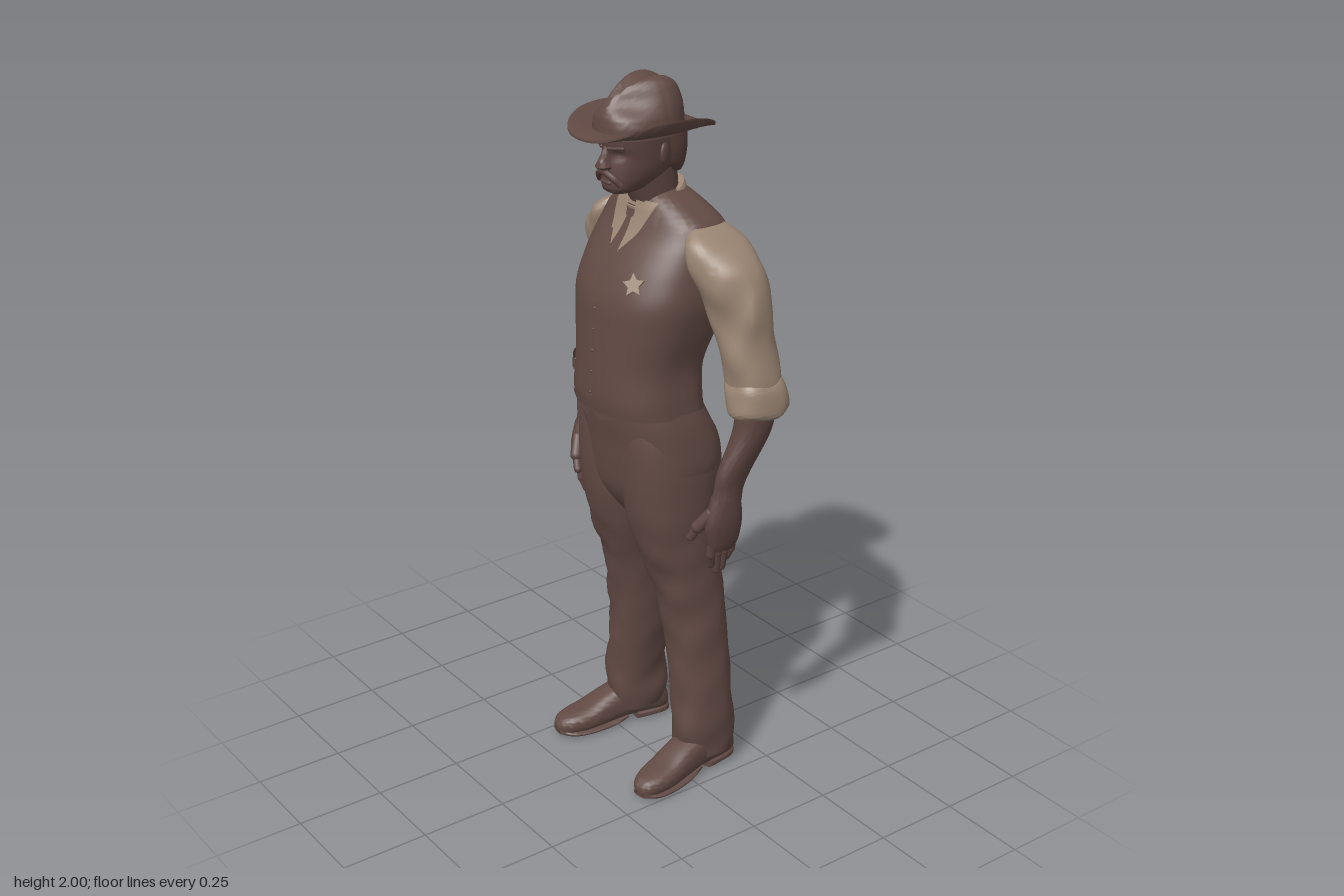
import * as THREE from 'three';
import { mergeVertices, toCreasedNormals } from 'three/addons/utils/BufferGeometryUtils.js';

const mat = (name, color) => Object.assign(new THREE.MeshStandardMaterial({ color, side: THREE.DoubleSide }), { name });
const step = THREE.MathUtils.smoothstep;

// Smooth surface from a point rule p(u, v), with u and v in 0..1
function grid(nu, nv, p) {
  const pos = [], idx = [];
  for (let j = 0; j <= nv; j++) for (let i = 0; i <= nu; i++) pos.push(...p(i / nu, j / nv));
  for (let j = 0; j < nv; j++) for (let i = 0; i < nu; i++) {
    const a = j * (nu + 1) + i, b = a + 1, c = a + nu + 1, d = c + 1;
    idx.push(a, c, b, b, c, d);
  }
  let g = new THREE.BufferGeometry();
  g.setAttribute('position', new THREE.Float32BufferAttribute(pos, 3));
  g.setIndex(idx);
  g = mergeVertices(g, 1e-5);
  return toCreasedNormals(g, 1.0);
}

// Catmull-Rom blend of table rows at t in 0..1
function rowAt(rows, t) {
  const f = t * (rows.length - 1), i = Math.min(Math.floor(f), rows.length - 2), k = f - i;
  const r = (n) => rows[Math.max(0, Math.min(rows.length - 1, n))];
  return rows[i].map((_, c) => {
    const a = r(i - 1)[c], b = r(i)[c], d = r(i + 1)[c], e = r(i + 2)[c];
    return b + 0.5 * k * (d - a + k * (2 * a - 5 * b + 4 * d - e + k * (3 * (b - d) + e - a)));
  });
}

// Closed body through rows of [y, xMin, xMax, zBack, zFront]; n and back set squareness, warp bends points
function loft(rows, { n = 2.3, back = n, warp = (x, y, z) => [x, y, z], nu = 36 } = {}) {
  const nv = (rows.length - 1) * 5;
  return grid(nu, nv + 2, (u, v) => {
    const j = Math.round(v * (nv + 2)), cap = j === 0 || j === nv + 2 ? 0 : 1;
    const [y, x0, x1, z0, z1] = rowAt(rows, Math.min(Math.max(j - 1, 0), nv) / nv);
    const a = (u % 1) * Math.PI * 2, c = Math.cos(a), s = Math.sin(a), e = 2 / (s < 0 ? back : n);
    const sx = Math.sign(c) * Math.abs(c) ** e * cap, sz = Math.sign(s) * Math.abs(s) ** e * cap;
    return warp((x0 + x1) / 2 + sx * (x1 - x0) / 2, y, (z0 + z1) / 2 + sz * (z1 - z0) / 2);
  });
}

const sym = (rows) => rows.map(([y, x, b, f]) => [y, -x, x, b, f]);
const sideRows = (rows, s) => (s > 0 ? rows : rows.map(([y, a, b, ...r]) => [y, -b, -a, ...r]));
const wrinkle = (amp) => (x, y, z) => {
  const w = amp * (Math.sin(y * 45 + x * 38 + z * 24) + 0.7 * Math.sin(y * 27 - x * 46 + z * 15));
  return [x + w * Math.sign(x) * 0.6, y, z + w];
};

const TORSO = sym([
  [1.12, 0.187, -0.104, 0.176], [1.16, 0.184, -0.1, 0.18], [1.25, 0.178, -0.106, 0.175],
  [1.35, 0.2, -0.142, 0.167], [1.43, 0.216, -0.172, 0.158], [1.5, 0.214, -0.185, 0.13],
  [1.56, 0.208, -0.181, 0.094], [1.6, 0.2, -0.168, 0.064], [1.635, 0.183, -0.15, 0.045],
  [1.665, 0.138, -0.13, 0.035], [1.69, 0.09, -0.11, 0.026], [1.702, 0.06, -0.098, 0.015]]);
const FRONT_N = 2.3;

// Front surface of the torso at x, y
function chestZ(x, y) {
  let lo = 0, hi = 1;
  for (let i = 0; i < 24; i++) {
    const m = (lo + hi) / 2;
    if (rowAt(TORSO, m)[0] < y) lo = m; else hi = m;
  }
  const [, , w, b, f] = rowAt(TORSO, lo);
  return (b + f) / 2 + (f - b) / 2 * Math.max(0, 1 - Math.abs(x / w) ** FRONT_N) ** (1 / FRONT_N);
}

// Thin cloth laid on the chest through rows of [y, xMin, xMax]
const patch = (rows, lift) => grid(8, 16, (u, v) => {
  const f = v * (rows.length - 1), i = Math.min(Math.floor(f), rows.length - 2), k = f - i;
  const [y, a, b] = rows[i].map((q, c) => q + (rows[i + 1][c] - q) * k);
  const x = b + (a - b) * u;
  return [x, y, chestZ(x, y) + lift];
});

// Rounded rod between two points
function rod(a, b, r) {
  const A = new THREE.Vector3(...a), B = new THREE.Vector3(...b), d = B.clone().sub(A);
  const g = new THREE.CapsuleGeometry(r, d.length(), 5, 10);
  g.applyQuaternion(new THREE.Quaternion().setFromUnitVectors(new THREE.Vector3(0, 1, 0), d.normalize()));
  return g.translate(...A.add(B).multiplyScalar(0.5).toArray());
}

export function createModel() {
  const root = new THREE.Group();
  const cloth = mat('brown cloth', 0x624a44), skin = mat('skin', 0x5d4540);
  const linen = mat('linen', 0x998472), hairMat = mat('hair', 0x573f3a);
  const add = (name, g, m) => {
    const mesh = new THREE.Mesh(g, m);
    mesh.name = name;
    root.add(mesh);
    return mesh;
  };

  // Vest, shirt front and tie
  add('vest', loft(TORSO, { n: FRONT_N, back: 3.4, nu: 64 }), cloth);
  add('shirtFront', patch([[1.545, -0.014, 0.014], [1.6, -0.055, 0.055], [1.68, -0.078, 0.078]], 0.004), linen);
  add('tie', patch([[1.5, -0.014, 0.014], [1.55, -0.02, 0.02], [1.63, -0.01, 0.01], [1.638, -0.016, 0.016], [1.664, -0.02, 0.02]], 0.01), cloth);
  add('vestSeam', patch([[1.12, 0.004, 0.008], [1.43, 0.004, 0.008]], 0.002), cloth);
  for (let i = 0; i < 5; i++) {
    const y = 1.17 + i * 0.058;
    add('vestButton', new THREE.SphereGeometry(0.004, 10, 8).translate(-0.006, y, chestZ(0, y)), cloth);
  }
  const star = new THREE.Shape();
  for (let i = 0; i < 10; i++) {
    const a = Math.PI / 2 + i * Math.PI / 5, r = i % 2 ? 0.016 : 0.032;
    star[i ? 'lineTo' : 'moveTo'](Math.cos(a) * r, Math.sin(a) * r);
  }
  const badge = add('starBadge', new THREE.ExtrudeGeometry(star, { depth: 0.007, bevelEnabled: false }), linen);
  badge.position.set(0.115, 1.49, chestZ(0.115, 1.49) + 0.006);
  badge.rotation.set(-0.45, 0.45, 0.2, 'YXZ');

  // Neck and shirt collar
  add('neck', loft(sym([[1.6, 0.06, -0.09, 0.02], [1.66, 0.062, -0.09, 0.035], [1.71, 0.063, -0.085, 0.055], [1.77, 0.065, -0.08, 0.075]])), skin);
  add('collar', loft(sym([[1.63, 0.082, -0.11, 0.044], [1.664, 0.077, -0.106, 0.048], [1.68, 0.071, -0.101, 0.05]]),
    { warp: (x, y, z) => [x, y - z * 0.42, z] }), linen);

  // Head
  add('head', loft(sym([[1.705, 0.026, 0.05, 0.112], [1.715, 0.045, 0.02, 0.127], [1.74, 0.063, -0.04, 0.13],
    [1.77, 0.075, -0.075, 0.127], [1.8, 0.081, -0.088, 0.124], [1.835, 0.085, -0.092, 0.132],
    [1.87, 0.087, -0.09, 0.132], [1.92, 0.08, -0.07, 0.11]]), {
    warp: (x, y, z) => [x, y, z - (z > 0.05 ? 0.014 * Math.exp(-(((Math.abs(x) - 0.036) / 0.018) ** 2) - ((y - 1.812) / 0.012) ** 2) : 0)],
  }), skin);
  add('nose', loft(sym([[1.77, 0.012, 0.1, 0.142], [1.778, 0.02, 0.1, 0.156], [1.79, 0.015, 0.1, 0.154], [1.81, 0.01, 0.1, 0.142], [1.832, 0.009, 0.1, 0.133]])), skin);
  add('hair', loft(sym([[1.75, 0.06, -0.085, -0.03], [1.775, 0.076, -0.093, -0.005], [1.82, 0.087, -0.097, 0.012], [1.88, 0.089, -0.095, 0.03]])), hairMat);
  const stache = new THREE.CatmullRomCurve3([[-0.046, 1.735, 0.113], [-0.03, 1.754, 0.128], [0, 1.765, 0.135], [0.03, 1.754, 0.128], [0.046, 1.735, 0.113]].map((p) => new THREE.Vector3(...p)));
  add('moustache', new THREE.TubeGeometry(stache, 24, 0.009, 10), hairMat);
  add('lowerLip', rod([-0.016, 1.737, 0.128], [0.016, 1.737, 0.128], 0.005), skin);

  // Hat crown with a centre crease and pinched front
  add('hatCrown', loft(sym([[1.855, 0.1, -0.094, 0.146], [1.9, 0.097, -0.094, 0.143], [1.94, 0.089, -0.088, 0.134],
    [1.975, 0.075, -0.072, 0.113], [1.995, 0.056, -0.047, 0.083], [2.004, 0.03, -0.02, 0.05]]), {
    nu: 56,
    warp: (x, y, z) => {
      const pinch = step(y, 1.89, 1.97) * step(z, -0.03, 0.13);
      const crease = 0.022 * Math.exp(-((x / 0.022) ** 2)) * step(y, 1.96, 2);
      return [x * (1 - 0.65 * pinch), y - crease - 0.02 * pinch, z];
    },
  }), cloth);

  // Brim with raised sides
  const PROFILE = [[0, -1], [0.35, -1], [0.7, -1], [1, -0.6], [1, 0.6], [0.7, 1], [0.35, 1], [0, 1], [0, -1]];
  add('hatBrim', grid(64, 8, (u, v) => {
    const [t, h] = PROFILE[Math.round(v * 8)], a = (u % 1) * Math.PI * 2;
    const c = Math.cos(a), s = Math.sin(a), sq = (q) => Math.sign(q) * Math.abs(q) ** 0.87;
    const x = sq(c) * (0.094 + 0.07 * t), z = 0.022 - 0.007 * t + sq(s) * (0.115 + 0.075 * t);
    const y = 1.864 + t * t * (0.036 * c * c - (s > 0 ? 0.004 : 0.016) * s * s) + (x > 0 ? 0.01 * t * c * c : 0);
    return [x, y + h * 0.005, z];
  }), cloth);

  // Hips
  add('trouserHips', loft(sym([[0.76, 0.02, -0.03, 0.04], [0.82, 0.1, -0.1, 0.09], [0.88, 0.185, -0.136, 0.12],
    [0.95, 0.208, -0.157, 0.131], [1.02, 0.206, -0.155, 0.138], [1.09, 0.196, -0.125, 0.147], [1.16, 0.176, -0.092, 0.15]]),
  { n: 2.6, back: 2.8, nu: 56, warp: (x, y, z) => [x, y, z + (z < 0 ? 0.02 * Math.exp(-((x / 0.022) ** 2)) * (1 - step(y, 0.96, 1.06)) : 0)] }), cloth);

  for (const s of [1, -1]) {
    const R = (rows) => sideRows(rows, s);
    const side = s > 0 ? 'left' : 'right';
    const part = (name, g, m) => add(side + name, g, m);

    // Trouser leg
    part('TrouserLeg', loft(R([[0.055, 0.1, 0.224, -0.174, 0], [0.11, 0.092, 0.23, -0.18, 0.012], [0.2, 0.088, 0.23, -0.17, 0.012],
      [0.4, 0.056, 0.215, -0.164, 0.013], [0.58, 0.034, 0.205, -0.153, 0.043], [0.7, 0.01, 0.204, -0.134, 0.085],
      [0.8, -0.004, 0.206, -0.128, 0.114], [0.88, -0.01, 0.208, -0.143, 0.126], [0.96, -0.006, 0.208, -0.152, 0.131],
      [1.04, 0.005, 0.197, -0.138, 0.132], [1.11, 0.03, 0.172, -0.09, 0.125]]),
    { warp: (x, y, z) => wrinkle(0.003 * (1 - step(y, 0.6, 0.9)))(x, y, z) }), cloth);

    // Shoe and sole, built lengthwise
    const foot = (rows) => loft(rows.map(([z, w, lo, hi]) => [z, -w, w, -hi, -lo]), { n: 2.7 }).rotateX(Math.PI / 2);
    const shoes = [
      ['Shoe', foot([[-0.172, 0.038, 0.012, 0.08], [-0.14, 0.05, 0.01, 0.12], [-0.05, 0.05, 0.014, 0.13], [0.02, 0.052, 0.01, 0.108],
        [0.08, 0.053, 0.006, 0.08], [0.13, 0.048, 0.006, 0.066], [0.165, 0.034, 0.008, 0.055], [0.181, 0.015, 0.014, 0.04]])],
      ['Sole', foot([[-0.04, 0.04, 0.012, 0.03], [0.01, 0.05, 0.002, 0.02], [0.08, 0.056, 0, 0.016], [0.14, 0.048, 0, 0.018], [0.178, 0.022, 0.006, 0.024]])],
      ['Heel', foot([[-0.178, 0.034, 0, 0.03], [-0.15, 0.047, 0, 0.03], [-0.07, 0.046, 0, 0.03]])],
    ];
    for (const [name, g] of shoes) {
      const m = part(name, g, cloth);
      m.position.x = s * 0.178;
      m.rotation.y = s * 0.16;
    }

    // Sleeve, its front slanting back toward the elbow, and rolled cuff
    part('Sleeve', loft(R([[1.18, 0.268, 0.388, -0.185, -0.045], [1.25, 0.25, 0.382, -0.185, -0.036], [1.34, 0.226, 0.362, -0.178, -0.026],
      [1.42, 0.2, 0.36, -0.174, -0.002], [1.5, 0.178, 0.344, -0.172, 0.022], [1.55, 0.165, 0.315, -0.167, 0.03],
      [1.6, 0.155, 0.252, -0.154, 0.02], [1.63, 0.16, 0.192, -0.126, -0.012]]), {
      warp: (x, y, z) => {
        const slant = 0.3 * Math.max(0, Math.abs(x) - 0.2) * step(z, -0.11, 0) * step(y, 1.3, 1.48);
        return wrinkle(0.003)(x, y, z - slant);
      },
    }), linen);
    part('Cuff', loft(R([[1.155, 0.272, 0.39, -0.188, -0.045], [1.165, 0.258, 0.4, -0.2, -0.034], [1.195, 0.256, 0.4, -0.2, -0.032],
      [1.225, 0.254, 0.394, -0.194, -0.032], [1.245, 0.258, 0.384, -0.186, -0.038]]),
    { warp: (x, y, z) => { const [a, b, c] = wrinkle(0.003)(x, y, z); return [a, b + 0.006 * Math.sin(x * 60 + z * 50), c]; } }), linen);

    // Forearm and hand
    part('Forearm', loft(R([[0.91, 0.288, 0.342, -0.075, 0.018], [0.95, 0.29, 0.343, -0.08, 0.008], [1, 0.292, 0.352, -0.1, 0.002],
      [1.1, 0.29, 0.374, -0.148, -0.042], [1.18, 0.288, 0.382, -0.165, -0.055]])), skin);
    part('Palm', loft(R([[0.77, 0.286, 0.322, -0.066, 0.014], [0.8, 0.283, 0.332, -0.076, 0.024], [0.86, 0.285, 0.342, -0.08, 0.034], [0.93, 0.29, 0.342, -0.07, 0.016]])), skin);
    [[0.01, 0.725], [-0.013, 0.703], [-0.036, 0.708], [-0.057, 0.735]].forEach(([z, tip]) => {
      part('Finger', rod([s * 0.307, 0.8, z], [s * 0.302, 0.76, z], 0.013), skin);
      part('FingerTip', rod([s * 0.302, 0.76, z], [s * 0.291, tip, z * 0.75 - 0.008], 0.0115), skin);
    });
    part('ThumbBase', rod([s * 0.308, 0.885, 0.015], [s * 0.283, 0.845, 0.04], 0.018), skin);
    part('Thumb', rod([s * 0.283, 0.845, 0.04], [s * 0.265, 0.81, 0.048], 0.012), skin);

    // Ear and brow
    const ear = part('Ear', new THREE.SphereGeometry(1, 14, 10), skin);
    ear.scale.set(0.008, 0.029, 0.017);
    ear.position.set(s * 0.085, 1.81, 0.005);
    ear.rotation.y = s * 0.3;
    part('Brow', rod([s * 0.016, 1.828, 0.129], [s * 0.054, 1.832, 0.113], 0.005), hairMat);

    // Collar wing, lapel, welt pocket and vest point
    part('CollarWing', patch(R([[1.595, 0.038, 0.048], [1.635, 0.02, 0.066], [1.678, 0.014, 0.076]]), 0.012), linen);
    part('Lapel', patch(R([[1.42, 0, 0.008], [1.5, 0.004, 0.07], [1.555, 0.02, 0.112], [1.562, 0.026, 0.085], [1.6, 0.054, 0.112], [1.665, 0.077, 0.1]]), 0.009), cloth);
    part('Pocket', patch(R([[1.205, 0.08, 0.16], [1.235, 0.085, 0.165]]), 0.009), cloth);
    part('VestPoint', patch(R([[1.1, 0.022, 0.03], [1.125, 0.004, 0.1], [1.14, 0, 0.13]]), 0.003), cloth);
  }
  return root;
}
